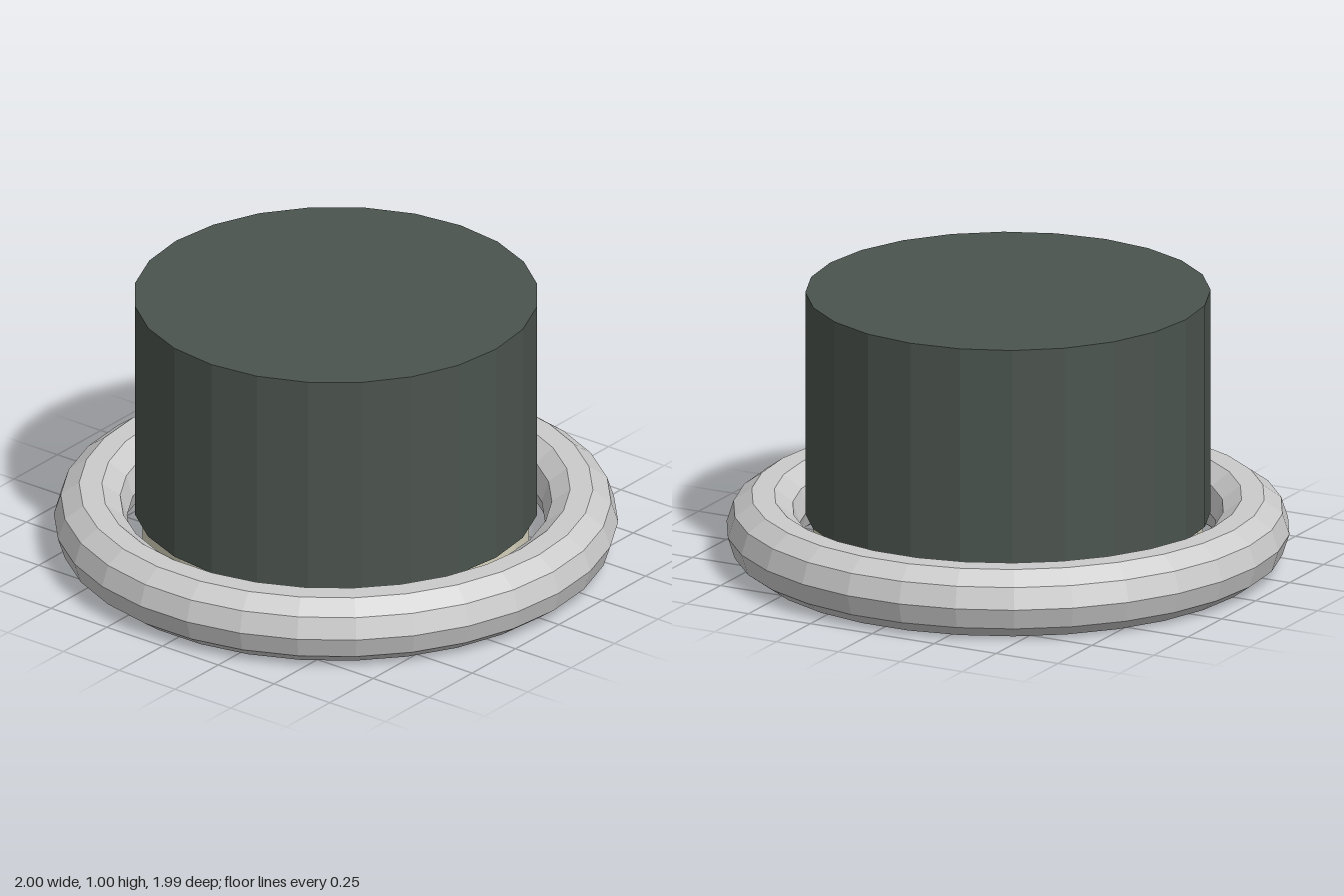
import * as THREE from 'three';

const material = (color) => new THREE.MeshStandardMaterial({ color, flatShading: true });

function addPart(group, name, geometry, color, y) {
  const mesh = new THREE.Mesh(geometry, material(color));
  mesh.name = name;
  mesh.position.y = y;
  group.add(mesh);
}

export function createModel() {
  const group = new THREE.Group();
  group.name = 'ringedCylinder';

  // faceted ring lying flat, loose around the foot of the body
  const ring = new THREE.TorusGeometry(0.87, 0.13, 10, 30).rotateX(Math.PI / 2);
  addPart(group, 'ring', ring, 0xcccccc, 0.124);

  // upright dark body
  const bodyBottom = 0.18, bodyTop = 1;
  const body = new THREE.CylinderGeometry(0.718, 0.718, bodyTop - bodyBottom, 24);
  addPart(group, 'body', body, 0x4b544e, (bodyTop + bodyBottom) / 2);

  // slightly narrower pale base under the body
  const baseBottom = 0.08;
  const base = new THREE.CylinderGeometry(0.69, 0.69, bodyBottom - baseBottom, 24);
  addPart(group, 'base', base, 0xd8d4be, (bodyBottom + baseBottom) / 2);

  return group;
}
